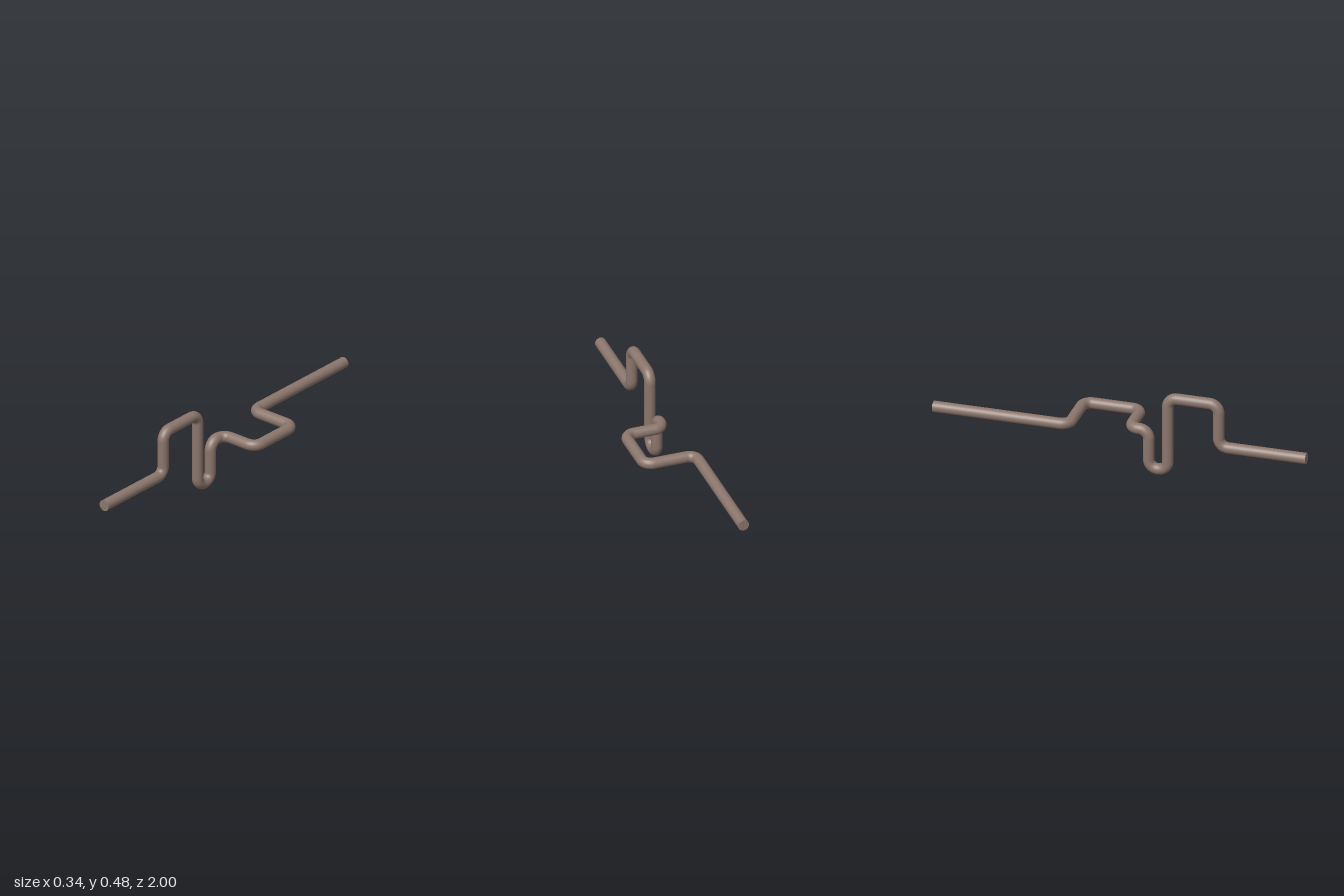
import * as THREE from 'three';

const RADIUS = 0.03;
const BEND = 0.05;

// Straight runs joined by circular bends at every inner corner
function bentPath(corners) {
  const path = new THREE.CurvePath();
  let from = corners[0];
  for (let i = 1; i < corners.length - 1; i++) {
    const c = corners[i];
    const toPrev = corners[i - 1].clone().sub(c).normalize();
    const toNext = corners[i + 1].clone().sub(c).normalize();
    const at = (dir, d) => c.clone().addScaledVector(dir, d);
    const a = at(toPrev, BEND), b = at(toNext, BEND);
    path.add(new THREE.LineCurve3(from, a));
    path.add(new THREE.CubicBezierCurve3(a, at(toPrev, BEND * 0.448), at(toNext, BEND * 0.448), b));
    from = b;
  }
  path.add(new THREE.LineCurve3(from, corners[corners.length - 1]));
  return path;
}

export function createModel() {
  const group = new THREE.Group();
  group.name = 'bentRod';
  const material = new THREE.MeshStandardMaterial({ color: 0x8b766c });

  const corners = [
    // front run, tall loop and low U in the vertical plane
    [-0.078, 0.208, 1], [-0.078, 0.208, 0.525], [-0.078, 0.45, 0.525],
    [-0.078, 0.45, 0.249], [-0.078, 0.032, 0.249], [-0.078, 0.032, 0.146],
    // level sideways jog and back run
    [-0.078, 0.25, 0.146], [-0.078, 0.25, 0.042], [0.137, 0.25, 0.042],
    [0.137, 0.25, -0.268], [-0.14, 0.25, -0.268], [-0.14, 0.25, -1],
  ].map(p => new THREE.Vector3(...p));

  // rod
  const rod = new THREE.Mesh(new THREE.TubeGeometry(bentPath(corners), 400, RADIUS, 32), material);
  rod.name = 'rod';
  group.add(rod);

  // flat end caps
  const cap = new THREE.CircleGeometry(RADIUS, 32);
  const front = new THREE.Mesh(cap, material);
  front.name = 'frontCap';
  front.position.copy(corners[0]);
  const back = new THREE.Mesh(cap, material);
  back.name = 'backCap';
  back.position.copy(corners[corners.length - 1]);
  back.rotation.y = Math.PI;
  group.add(front, back);

  return group;
}
